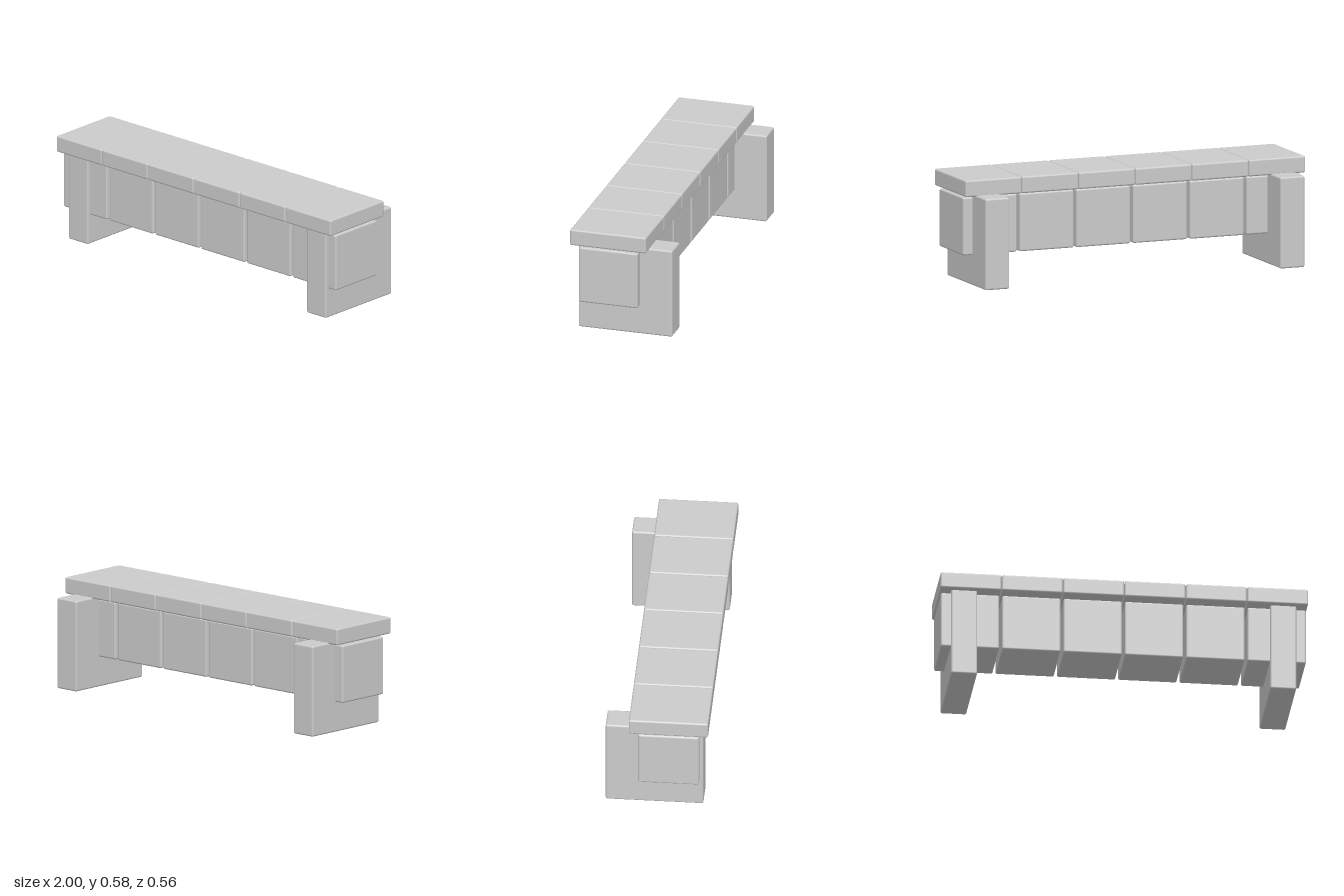
import * as THREE from 'three';
import { RoundedBoxGeometry } from 'three/addons/geometries/RoundedBoxGeometry.js';

const stone = new THREE.MeshStandardMaterial({ color: 0xcccccc });

// Soft-edged block given by its lower and upper corners
function block(name, [x0, y0, z0], [x1, y1, z1]) {
  const geometry = new RoundedBoxGeometry(x1 - x0, y1 - y0, z1 - z0, 2, 0.01);
  const mesh = new THREE.Mesh(geometry, stone);
  mesh.name = name;
  mesh.position.set((x0 + x1) / 2, (y0 + y1) / 2, (z0 + z1) / 2);
  return mesh;
}

export function createModel() {
  const bench = new THREE.Group();
  bench.name = 'stoneBench';

  // Row of six cap slabs, each over a slightly narrower beam block
  const count = 6;
  const pitch = 2 / count;
  for (let i = 0; i < count; i++) {
    const x = -1 + (i + 0.5) * pitch;
    const slab = pitch / 2 - 0.001;
    const beam = 0.159;
    bench.add(block(`capSlab${i + 1}`, [x - slab, 0.493, -0.15], [x + slab, 0.585, 0.28]));
    bench.add(block(`beamBlock${i + 1}`, [x - beam, 0.166, -0.1], [x + beam, 0.484, 0.23]));
  }

  // Upright end supports, extending out behind the slabs
  bench.add(block('rightSupport', [-0.938, 0, -0.28], [-0.796, 0.5, 0.25]));
  bench.add(block('leftSupport', [0.796, 0, -0.28], [0.938, 0.5, 0.25]));

  return bench;
}
